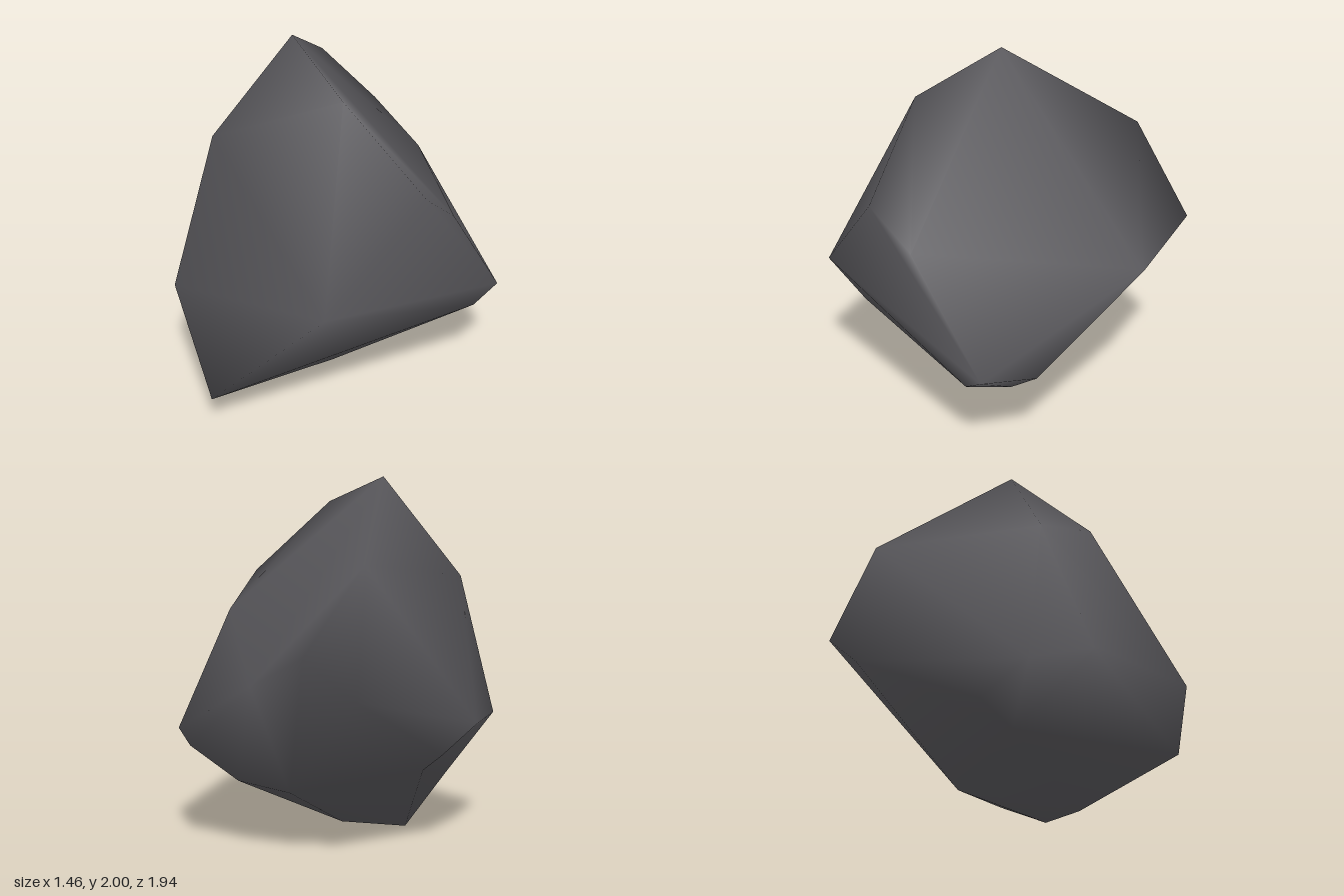
import * as THREE from 'three';
import { ConvexGeometry } from 'three/addons/geometries/ConvexGeometry.js';

// Corners of the rock: x, y, z and an optional factor for shallow dents
const corners = [
  // crown
  [-0.32, 2, 0.08], [0.18, 1.85, 0.32], [-0.63, 1.59, -0.6], [-0.61, 1.46, 0.42], [0.68, 1.44, 0.3],
  // middle
  [0.69, 1.23, 0.05], [-0.51, 1.16, -0.97], [-0.14, 0.98, -0.89], [-0.64, 0.92, -0.69], [0.39, 0.86, 0.78],
  [-0.66, 0.66, 0.74], [-0.73, 0.65, 0.41], [0.73, 0.6, -0.38], [0.49, 0.56, -0.58],
  // underside
  [-0.68, 0.52, 0.11], [0.66, 0.5, -0.25], [-0.51, 0.4, 0.2, 1.15], [0.34, 0.34, -0.35, 1.12],
  [-0.04, 0.33, -0.4], [-0.23, 0.21, 0.97], [-0.03, 0.06, 0.13], [-0.26, 0, 0.44],
];

// Wrap a hull around the corners with the dents pushed out, then let them sink back
function rockGeometry() {
  const centre = new THREE.Vector3(0, 0.95, 0);
  const points = corners.map(([x, y, z]) => new THREE.Vector3(x, y, z));
  const lifted = points.map((p, i) => p.clone().sub(centre).multiplyScalar(corners[i][3] ?? 1).add(centre));
  const hull = new ConvexGeometry(lifted).getAttribute('position');
  const v = new THREE.Vector3();
  const index = [];
  for (let i = 0; i < hull.count; i++) {
    v.fromBufferAttribute(hull, i);
    let nearest = 0;
    lifted.forEach((p, j) => {
      if (p.distanceToSquared(v) < lifted[nearest].distanceToSquared(v)) nearest = j;
    });
    index.push(nearest);
  }
  // Shared corners give smooth normals
  const geometry = new THREE.BufferGeometry().setFromPoints(points);
  geometry.setIndex(index);
  geometry.computeVertexNormals();
  return geometry;
}

export function createModel() {
  const stone = new THREE.MeshStandardMaterial({ color: 0x58575b });
  stone.name = 'dark grey stone';
  const rock = new THREE.Mesh(rockGeometry(), stone);
  rock.name = 'rock';
  const model = new THREE.Group();
  model.name = 'boulder';
  model.add(rock);
  return model;
}
